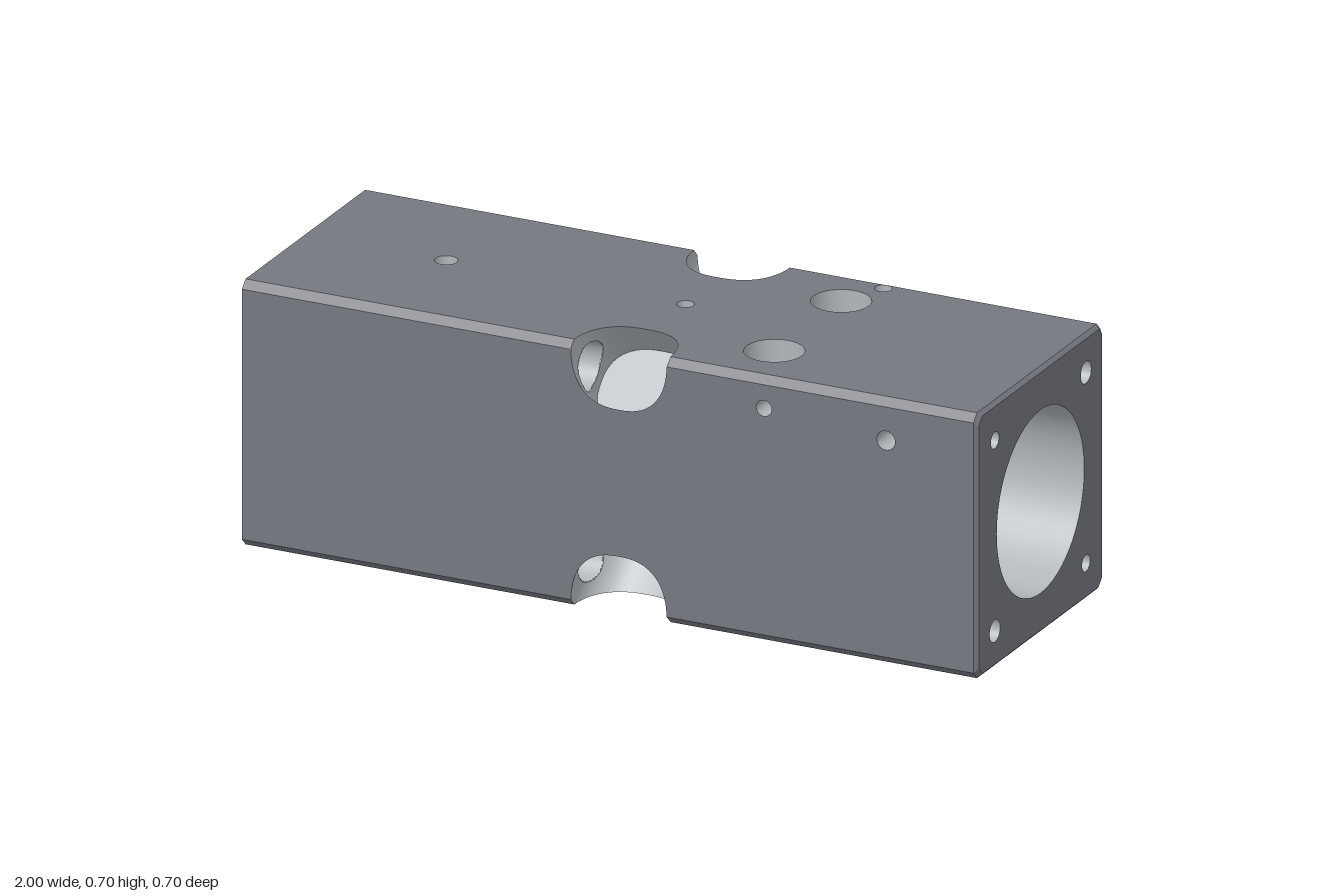
import * as THREE from 'three';

const H = 0.348, C = 0.02, E = 0.01, CY = 0.35;           // half size, edge chamfer, end chamfer, axis height
const PX = 0.025, PA = 0.131, PB = 0.11, PN = 2.5, PD = 0.256; // corner pockets: centre, half sizes, roundness, floor
const S2 = Math.SQRT2;
const outside = new THREE.MeshStandardMaterial({ color: 0x757880, side: THREE.DoubleSide });
const machined = new THREE.MeshStandardMaterial({ color: 0xb2b7bb, side: THREE.DoubleSide });

// Frames 0-3: top, front, bottom, back; 4: +x end; 5: -x end. Local +y is the face normal.
const frames = [0, 1, 2, 3].map(k => new THREE.Matrix4().makeRotationX(k * Math.PI / 2));
frames.push(new THREE.Matrix4().makeRotationZ(-Math.PI / 2), new THREE.Matrix4().makeRotationZ(Math.PI / 2));
const inverses = frames.map(m => m.clone().invert());
const faceDist = k => (k < 4 ? H : 1);

// Drilled holes: name, face, u, v, radius, depth, radius of the opening left in the bottom
const drills = [
  ['portCounterbore', 0, 0.365, 0.18, 0.075, 0.06, 0.049],
  ['portCounterbore', 0, 0.365, -0.187, 0.075, 0.06, 0.049],
  ['portHole', 2, 0.365, -0.18, 0.049, 2 * H - 0.06, 0.049],
  ['portHole', 2, 0.365, 0.187, 0.049, 2 * H - 0.06, 0.049],
  ['verticalHole', 0, 0.42, -0.307, 0.022, H, 0.022],
  ['verticalHole', 2, 0.42, 0.307, 0.022, H, 0.022],
  ['topBlindHole', 0, -0.617, 0, 0.029, 0.06, 0],
  ['topPinHole', 0, 0.034, 0, 0.022, 0.1, 0],
  ['bottomPinHole', 2, 0.034, 0, 0.022, 0.1, 0],
  ['crossHole', 1, 0.42, -0.266, 0.021, H, 0.021],
  ['crossHole', 3, 0.42, 0.266, 0.021, H, 0.021],
  ['crossBore', 1, 0.752, -0.24, 0.025, 2 * H - 0.08, 0.025],
  ['crossCounterbore', 3, 0.752, 0.24, 0.037, 0.08, 0.025],
  ['backBlindHole', 3, 0.67, 0, 0.027, 0.07, 0],
  ['backPinHole', 3, -0.035, 0, 0.027, 0.1, 0],
  ['endPinHole', 5, 0.31, 0.10, 0.018, 0.12, 0],
  ['endPinHole', 5, 0.0, -0.315, 0.018, 0.12, 0],
  ['endPinHole', 5, -0.30, -0.11, 0.018, 0.12, 0],
];
for (const y of [-1, 1]) for (const z of [-1, 1]) {
  drills.push(['endScrewHole', 4, -0.25 * y, 0.25 * z, y * z > 0 ? 0.022 : 0.029, 0.18, 0]);
  drills.push(['tieRodHole', 5, 0.25 * y, 0.25 * z, 0.063, 1.0, 0.063]);
}

// Tests for empty space
const q = new THREE.Vector3();
const inDrill = (p, [, k, u, v, r, depth]) => {
  q.copy(p).applyMatrix4(inverses[k]);
  return q.y > faceDist(k) - depth && Math.hypot(q.x - u, q.z - v) < r;
};
const boreRadius = x => (x < -0.2 ? 0.265 : x > 0.2 ? 0.24 : 0.166);
const inBore = p => Math.hypot(p.y, p.z) < boreRadius(p.x) - 0.0005;
const inPocket = p => {
  const d = (Math.abs(p.y) + Math.abs(p.z)) / S2, t = (Math.abs(p.y) - Math.abs(p.z)) / S2;
  return d > PD && Math.abs((p.x - PX) / PA) ** PN + Math.abs(t / PB) ** PN < 1;
};

// Drops the triangles in empty space, splitting those that cross its border
function carve(geometry, isEmpty) {
  const g = geometry.index ? geometry.toNonIndexed() : geometry;
  const { position, normal } = g.attributes, P = [], N = [];
  const corner = (p, n) => ({ p, n, empty: isEmpty(p) });
  const mid = (a, b) => corner(a.p.clone().lerp(b.p, 0.5), a.n.clone().lerp(b.n, 0.5).normalize());
  const visit = (a, b, c, level) => {
    const count = a.empty + b.empty + c.empty;
    if (count === 3) return;
    if (count > 0 && level > 0) {
      const ab = mid(a, b), bc = mid(b, c), ca = mid(c, a);
      visit(a, ab, ca, level - 1);
      visit(ab, b, bc, level - 1);
      visit(ca, bc, c, level - 1);
      visit(ab, bc, ca, level - 1);
    } else if (count < 2) {
      for (const { p, n } of [a, b, c]) {
        P.push(p.x, p.y, p.z);
        N.push(n.x, n.y, n.z);
      }
    }
  };
  const read = i => corner(new THREE.Vector3().fromBufferAttribute(position, i), new THREE.Vector3().fromBufferAttribute(normal, i));
  for (let i = 0; i < position.count; i += 3) visit(read(i), read(i + 1), read(i + 2), 3);
  const out = new THREE.BufferGeometry();
  out.setAttribute('position', new THREE.Float32BufferAttribute(P, 3));
  out.setAttribute('normal', new THREE.Float32BufferAttribute(N, 3));
  return out;
}

// Grid surface from a rule f(i, j) -> [x, y, z]
function gridSurface(nu, nv, f) {
  const g = new THREE.PlaneGeometry(1, 1, nu, nv), pos = g.attributes.position;
  for (let j = 0; j <= nv; j++) for (let i = 0; i <= nu; i++) pos.setXYZ(j * (nu + 1) + i, ...f(i / nu, j / nv));
  g.computeVertexNormals();
  return g;
}

const circle = (x, y, r) => new THREE.Path().absarc(x, y, r, 0, Math.PI * 2, true);
const power = c => Math.sign(c) * Math.abs(c) ** (2 / PN);

// Octagonal end section as [y, z]
function octagon(h) {
  const b = h - C;
  return [[h, -b], [h, b], [b, h], [-b, h], [-h, b], [-h, -b], [-b, -h], [b, -h]];
}

export function createModel() {
  const model = new THREE.Group(), body = new THREE.Group();
  body.name = 'housing';
  body.position.y = CY;
  model.add(body);
  const add = (name, geometry, material) => {
    const m = new THREE.Mesh(geometry, material);
    m.name = name;
    body.add(m);
  };

  // Long side faces, with the pocket cut-outs on both edges
  const notch = [], n = 48;
  for (let i = 0; i <= n; i++) {
    const a = Math.PI * i / n;
    notch.push([PX - PA * power(Math.cos(a)), H - S2 * Math.max(C / S2, PB * power(Math.sin(a)))]);
  }
  ['topFace', 'frontFace', 'bottomFace', 'backFace'].forEach((name, k) => {
    const b = H - C;
    const outline = [[-1, -b], ...notch.map(([x, v]) => [x, -v]), [1 - E, -b],
      [1 - E, b], ...notch.map(([x, v]) => [x, v]).reverse(), [-1, b]];
    const shape = new THREE.Shape(outline.map(p => new THREE.Vector2(...p)));
    for (const [, f, u, v, r] of drills) if (f === k) shape.holes.push(circle(u, -v, r));
    add(name, new THREE.ShapeGeometry(shape, 16).rotateX(-Math.PI / 2).translate(0, H, 0).applyMatrix4(frames[k]), outside);
  });

  // Chamfered long edges and the corner pockets
  const section = i => [PX + PA * power(Math.cos(i * Math.PI * 2)), PB * power(Math.sin(i * Math.PI * 2))];
  const place = (x, t, d) => [x, (d + t) / S2, (d - t) / S2];
  for (let k = 0; k < 4; k++) {
    for (const [x0, x1] of [[-1, PX - PA], [PX + PA, 1 - E]])
      add('edgeChamfer', gridSurface(1, 1, (i, j) => [x0 + (x1 - x0) * i, H - C * j, H - C + C * j]).applyMatrix4(frames[k]), outside);
    const wall = gridSurface(96, 10, (i, j) => {
      const [x, t] = section(i);
      const top = Math.min(H * S2 - Math.abs(t), (2 * H - C) / S2);
      return place(x, t, PD + (top - PD) * j);
    }).applyMatrix4(frames[k]);
    add('pocketWall', carve(wall, p => drills.some(d => d[0] === 'tieRodHole' && inDrill(p, d))), machined);
    add('pocketFloor', gridSurface(64, 1, (i, j) => {
      const [x, t] = section(i);
      return place(PX + (x - PX) * (1 - j), t * (1 - j), PD);
    }).applyMatrix4(frames[k]), machined);
  }

  // End faces
  for (const k of [4, 5]) {
    const sign = k === 4 ? 1 : -1;
    const ring = octagon(k === 4 ? H - E : H).map(([y, z]) => new THREE.Vector2(-sign * y, -z));
    const shape = new THREE.Shape(ring);
    shape.holes.push(circle(0, 0, boreRadius(sign)));
    for (const [, f, u, v, r] of drills) if (f === k) shape.holes.push(circle(u, -v, r));
    add('endFace', new THREE.ShapeGeometry(shape, 48).rotateX(-Math.PI / 2).translate(0, 1, 0).applyMatrix4(frames[k]), outside);
  }

  // Chamfer around the +x end
  const outer = octagon(H), inner = octagon(H - E);
  const rim = gridSurface(8, 1, (i, j) => {
    const s = Math.round(i * 8) % 8;
    return j < 0.5 ? [1 - E, ...outer[s]] : [1, ...inner[s]];
  }).toNonIndexed();
  rim.computeVertexNormals();
  add('endChamfer', rim, outside);

  // Stepped main bore, section by section
  const profile = [[-1, 0.265], [-0.2, 0.265], [-0.2, 0.166], [0.18, 0.166], [0.2, 0.187], [0.2, 0.24], [1, 0.24]];
  for (let s = 0; s < profile.length - 1; s++) {
    const [x0, r0] = profile[s], [x1, r1] = profile[s + 1];
    const m = Math.max(1, Math.round(Math.abs(x1 - x0) / 0.025)), pts = [];
    for (let i = 0; i <= m; i++) pts.push(new THREE.Vector2(r0 + (r1 - r0) * i / m, x0 + (x1 - x0) * i / m));
    const lathe = new THREE.LatheGeometry(pts, 96).rotateZ(-Math.PI / 2);
    add('mainBore', carve(lathe, p => drills.some(d => inDrill(p, d))), machined);
  }

  // Walls and bottoms of the drilled holes
  for (const drill of drills) {
    const [name, k, u, v, r, depth, open] = drill;
    const isEmpty = p => inBore(p) || inPocket(p) || drills.some(d => d !== drill && inDrill(p, d));
    const end = faceDist(k) - depth;
    const tube = new THREE.CylinderGeometry(r, r, depth, 32, Math.ceil(depth / 0.025), true)
      .translate(u, end + depth / 2, v).applyMatrix4(frames[k]);
    add(name, carve(tube, isEmpty), machined);
    if (open < r) {
      const floor = new THREE.RingGeometry(open, r, 32, 3).rotateX(-Math.PI / 2).translate(u, end, v);
      add(name + 'Floor', carve(floor.applyMatrix4(frames[k]), isEmpty), machined);
    }
  }
  return model;
}
